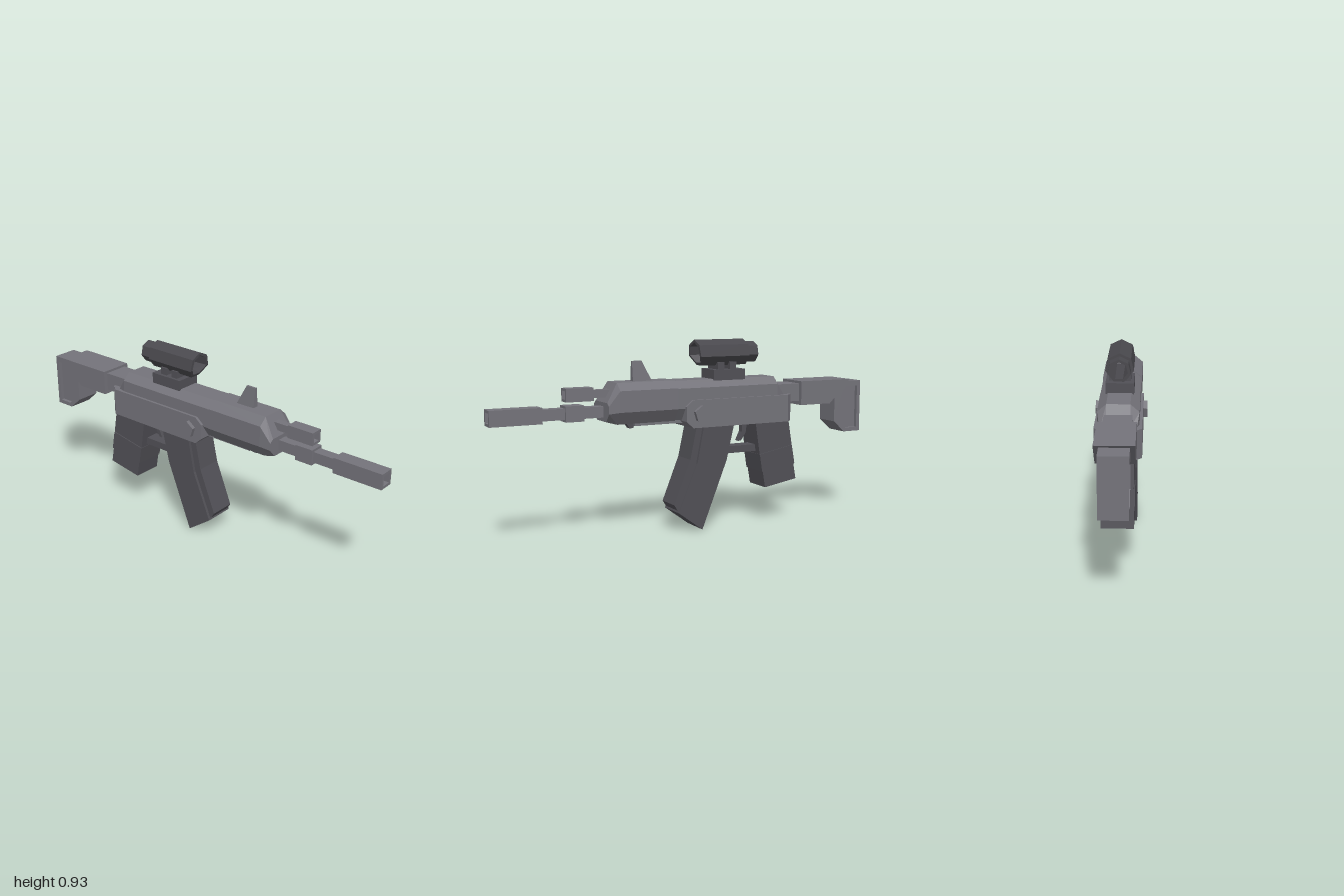
import * as THREE from 'three';

const mat = (name, color) => {
  const m = new THREE.MeshStandardMaterial({ color });
  m.name = name;
  return m;
};

export function createModel() {
  const model = new THREE.Group();
  const bodyGrey = mat('bodyGrey', 0x74737a);
  const darkGrey = mat('darkGrey', 0x515056);
  const scopeGrey = mat('scopeGrey', 0x4a494e);

  const add = (name, geometry, material) => {
    let g = geometry;
    if (g.index) g = g.toNonIndexed();
    g.computeVertexNormals(); // flat facets
    const mesh = new THREE.Mesh(g, material);
    mesh.name = name;
    model.add(mesh);
    return mesh;
  };

  const vec = (pts) => pts.map(([x, y]) => new THREE.Vector2(x, y));

  // Side profile in x/y, extruded evenly to both sides of z = 0
  const slab = (pts, half, hole) => {
    const shape = new THREE.Shape(vec(pts));
    if (hole) shape.holes.push(new THREE.Path(vec(hole)));
    const g = new THREE.ExtrudeGeometry(shape, { depth: half * 2, bevelEnabled: false });
    return g.translate(0, 0, -half);
  };

  // Box from corner coordinates, centred on z = 0
  const block = (x0, x1, y0, y1, half) =>
    new THREE.BoxGeometry(x1 - x0, y1 - y0, half * 2).translate((x0 + x1) / 2, (y0 + y1) / 2, 0);

  // Convex cross-sections [x, ring of [y, z]] joined along x and capped
  const loft = (sections) => {
    const pos = [];
    const tri = (...p) => p.forEach((v) => pos.push(...v));
    const rings = sections.map(([x, ring]) => ring.map(([y, z]) => [x, y, z]));
    const n = rings[0].length;
    for (let s = 0; s < rings.length - 1; s++) {
      for (let i = 0; i < n; i++) {
        const j = (i + 1) % n;
        const [a, b, c, d] = [rings[s][i], rings[s][j], rings[s + 1][j], rings[s + 1][i]];
        tri(a, b, c);
        tri(a, c, d);
      }
    }
    const first = rings[0], last = rings[rings.length - 1];
    for (let i = 1; i < n - 1; i++) {
      tri(first[0], first[i + 1], first[i]);
      tri(last[0], last[i], last[i + 1]);
    }
    const g = new THREE.BufferGeometry();
    g.setAttribute('position', new THREE.Float32BufferAttribute(pos, 3));
    return g;
  };
  // Half ring of [y, z] from top to bottom, mirrored to a full ring
  const ring = (...half) => [...half, ...half.map(([y, z]) => [y, -z]).reverse()];

  // Faceted turned part lying along x; profile points are [x, radius]
  const turned = (pts, sides, start, y) =>
    new THREE.LatheGeometry(vec(pts.map(([x, r]) => [r, x])), sides, start)
      .rotateZ(-Math.PI / 2).translate(0, y, 0);
  const squareTube = (pts, y) =>
    turned(pts.map(([x, h]) => [x, h * Math.SQRT2]), 4, Math.PI / 4, y);

  // Upper receiver and handguard
  const section = ring([0.742, 0.053], [0.707, 0.093], [0.61, 0.093], [0.553, 0.055]);
  const guard = ring([0.745, 0.055], [0.71, 0.096], [0.61, 0.096], [0.55, 0.055]);
  add('upperReceiver', loft([
    [-0.51, ring([0.65, 0.053], [0.64, 0.08], [0.61, 0.08], [0.56, 0.05])],
    [-0.46, section],
    [0.1, section],
  ]), bodyGrey);
  add('handguard', loft([
    [0.1, guard],
    [0.4, guard],
    [0.455, ring([0.655, 0.07], [0.64, 0.09], [0.605, 0.09], [0.565, 0.055])],
  ]), bodyGrey);
  add('handguardRail', block(0.04, 0.3, 0.535, 0.56, 0.036), bodyGrey);
  add('railCatch', slab([[0.29, 0.555], [0.3, 0.523], [0.32, 0.523], [0.34, 0.555]], 0.015), darkGrey);

  // Lower receiver with chamfered ends and cross pin
  const rect = (y0, y1, h) => ring([y1, h], [y0, h]);
  add('lowerReceiver', loft([
    [-0.55, rect(0.515, 0.65, 0.075)],
    [-0.515, rect(0.515, 0.65, 0.106)],
    [0.025, rect(0.515, 0.65, 0.106)],
    [0.062, rect(0.548, 0.62, 0.106)],
  ]), bodyGrey);
  add('crossPin', new THREE.CylinderGeometry(0.041, 0.041, 0.25, 5, 1, false, Math.PI)
    .rotateX(Math.PI / 2).translate(-0.015, 0.583, 0), bodyGrey);

  // Stock
  add('bufferTube', block(-0.62, -0.46, 0.61, 0.7, 0.063), bodyGrey);
  add('stockBody', slab([[-0.915, 0.712], [-0.79, 0.59], [-0.61, 0.59], [-0.61, 0.712]], 0.084), bodyGrey);
  const butt = [[-1, 0.432], [-0.9, 0.432], [-0.835, 0.49], [-0.835, 0.63], [-0.9, 0.7], [-1, 0.7]];
  const recess = [[-0.98, 0.452], [-0.91, 0.452], [-0.85, 0.505], [-0.85, 0.61], [-0.91, 0.672], [-0.98, 0.672]];
  add('buttFrame', slab(butt, 0.063, recess), bodyGrey);
  add('buttPanel', slab(recess, 0.045), bodyGrey);

  // Barrel with open muzzle, and the shorter gas tube above it
  add('barrel', squareTube([
    [0.44, 0.026], [0.555, 0.026], [0.555, 0.037], [0.645, 0.037], [0.645, 0.026], [0.755, 0.026],
    [0.755, 0.037], [1, 0.037], [1, 0.024], [0.93, 0.024], [0.93, 0],
  ], 0.61), bodyGrey);
  add('gasTube', squareTube([
    [0.39, 0.018], [0.505, 0.018], [0.505, 0.031], [0.64, 0.031], [0.64, 0.019], [0.59, 0.019], [0.59, 0],
  ], 0.695), bodyGrey);

  // Front sight, thinner towards the top
  const sight = slab([[0.2, 0.74], [0.3, 0.74], [0.3, 0.84], [0.25, 0.84]], 0.016);
  const sp = sight.attributes.position;
  for (let i = 0; i < sp.count; i++) if (sp.getY(i) > 0.8) sp.setZ(i, sp.getZ(i) * 0.35);
  add('frontSight', sight, bodyGrey);

  // Scope: hollow seven-sided tube with a raked front rim, on a mount
  const scope = turned([
    [-0.37, 0.04], [-0.37, 0.053], [-0.31, 0.053], [-0.31, 0.066], [-0.035, 0.066],
    [-0.035, 0.052], [-0.1, 0.044], [-0.37, 0.04],
  ], 7, -Math.PI / 2, 0.866);
  const p = scope.attributes.position;
  for (let i = 0; i < p.count; i++) {
    if (p.getX(i) > -0.06) {
      p.setX(i, p.getX(i) - 0.03 * THREE.MathUtils.clamp((0.86 - p.getY(i)) / 0.055, 0, 1));
    }
  }
  add('scopeTube', scope, scopeGrey);
  add('scopeMount', block(-0.285, -0.11, 0.735, 0.787, 0.065), darkGrey);
  for (const x of [-0.225, -0.157]) {
    add('scopeLug', block(x - 0.018, x + 0.018, 0.78, 0.822, 0.05), darkGrey);
  }

  // Pistol grip in three bands
  add('gripTop', slab([[-0.54, 0.53], [-0.565, 0.385], [-0.372, 0.35], [-0.344, 0.53]], 0.071), darkGrey);
  add('gripMiddle', slab([[-0.562, 0.387], [-0.58, 0.29], [-0.385, 0.262], [-0.37, 0.352]], 0.076), darkGrey);
  add('gripBottom', slab([[-0.575, 0.29], [-0.59, 0.21], [-0.405, 0.18], [-0.39, 0.262]], 0.073), darkGrey);

  // Trigger and guard bar
  add('trigger', slab([
    [-0.33, 0.52], [-0.322, 0.46], [-0.295, 0.42], [-0.278, 0.42], [-0.3, 0.465], [-0.3, 0.52],
  ], 0.015), darkGrey);
  add('triggerGuard', block(-0.38, -0.205, 0.365, 0.4, 0.035), darkGrey);

  // Curved magazine with a narrower front spine
  add('magazine', slab([
    [-0.22, 0.53], [-0.175, 0.34], [-0.04, 0.004], [0.088, 0.098], [-0.012, 0.335], [-0.05, 0.53],
  ], 0.078), darkGrey);
  add('magazineSpine', slab([
    [-0.07, 0.53], [-0.03, 0.335], [0.07, 0.1], [0.09, 0.11], [0.108, 0.138], [0.02, 0.355], [-0.018, 0.53],
  ], 0.064), darkGrey);

  return model;
}
